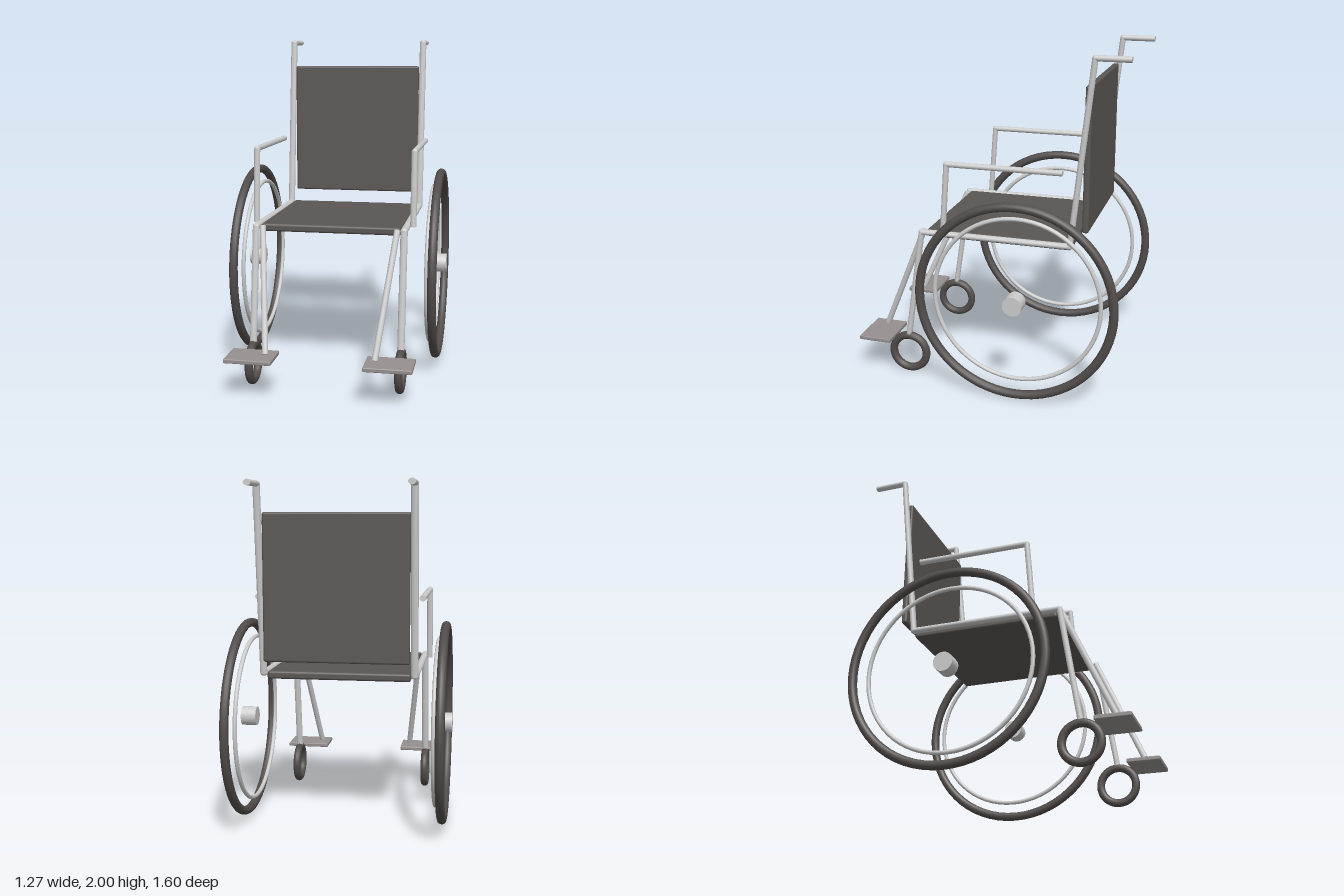
import * as THREE from 'three';
import { RoundedBoxGeometry } from 'three/addons/geometries/RoundedBoxGeometry.js';

const metal = new THREE.MeshStandardMaterial({ color: 0xcccccc });
const fabric = new THREE.MeshStandardMaterial({ color: 0x5a5653 });
const rubber = new THREE.MeshStandardMaterial({ color: 0x514c4a });
const plate = new THREE.MeshStandardMaterial({ color: 0x96908f });

function add(parent, name, geometry, material, x = 0, y = 0, z = 0) {
  const mesh = new THREE.Mesh(geometry, material);
  mesh.name = name;
  mesh.position.set(x, y, z);
  parent.add(mesh);
  return mesh;
}

// Straight bars through a list of points; slim < 1 flattens them within the side plane
function tubing(parent, name, points, radius, slim = 1) {
  const group = new THREE.Group();
  group.name = name;
  parent.add(group);
  const v = points.map((p) => new THREE.Vector3(...p));
  for (let i = 0; i < v.length - 1; i++) {
    const dir = v[i + 1].clone().sub(v[i]);
    const bar = add(group, name + 'Bar', new THREE.CylinderGeometry(radius, radius, dir.length(), 12), metal);
    bar.position.copy(v[i]).add(v[i + 1]).multiplyScalar(0.5);
    bar.quaternion.setFromUnitVectors(new THREE.Vector3(0, 1, 0), dir.normalize());
    bar.scale.z = slim;
    // Rounded elbow between consecutive bars
    if (i > 0) {
      const elbow = add(group, name + 'Elbow', new THREE.SphereGeometry(radius, 12, 8), metal, ...points[i]);
      elbow.scale.set(1, slim, slim);
    }
  }
}

function ring(parent, name, outer, tube, material, x, y, z) {
  const mesh = add(parent, name, new THREE.TorusGeometry(outer - tube, tube, 12, 64), material, x, y, z);
  mesh.rotation.y = Math.PI / 2;
}

export function createModel() {
  const model = new THREE.Group();
  model.name = 'wheelchair';

  // Seat and backrest
  add(model, 'seat', new RoundedBoxGeometry(0.82, 0.046, 0.87, 3, 0.014), fabric, 0, 0.911, -0.048);
  add(model, 'backrest', new RoundedBoxGeometry(0.82, 0.83, 0.036, 3, 0.012), fabric, 0, 1.415, -0.56);

  for (const s of [1, -1]) {
    const side = new THREE.Group();
    side.name = s > 0 ? 'leftSide' : 'rightSide';
    model.add(side);

    // Frame: push handle, back post, seat rail, caster leg
    const x = s * 0.432;
    tubing(side, 'frame', [
      [x, 1.983, -0.79], [x, 1.983, -0.595], [x, 0.922, -0.48],
      [x, 0.922, 0.41], [x, 0.255, 0.51],
    ], 0.021, 0.82);

    // Armrest
    const ax = s * 0.469;
    tubing(side, 'armrest', [[ax, 0.92, 0.265], [ax, 1.356, 0.233], [ax, 1.356, -0.44]], 0.0185, 0.9);

    // Footrest
    tubing(side, 'footrestStrut', [[s * 0.393, 0.925, 0.408], [s * 0.31, 0.25, 0.702]], 0.018);
    add(side, 'footplate', new RoundedBoxGeometry(0.272, 0.025, 0.2, 2, 0.006), plate, s * 0.391, 0.229, 0.7);

    // Large rear wheel with hand rim and hub
    ring(side, 'rearTyre', 0.596, 0.026, rubber, s * 0.589, 0.606, -0.2);
    ring(side, 'handRim', 0.502, 0.0125, metal, s * 0.55, 0.606, -0.2);
    const hub = add(side, 'hub', new THREE.CylinderGeometry(0.057, 0.057, 0.09, 24), metal, s * 0.591, 0.606, -0.2);
    hub.rotation.z = Math.PI / 2;

    // Front caster
    ring(side, 'casterTyre', 0.131, 0.024, rubber, x, 0.133, 0.51);
  }
  return model;
}
